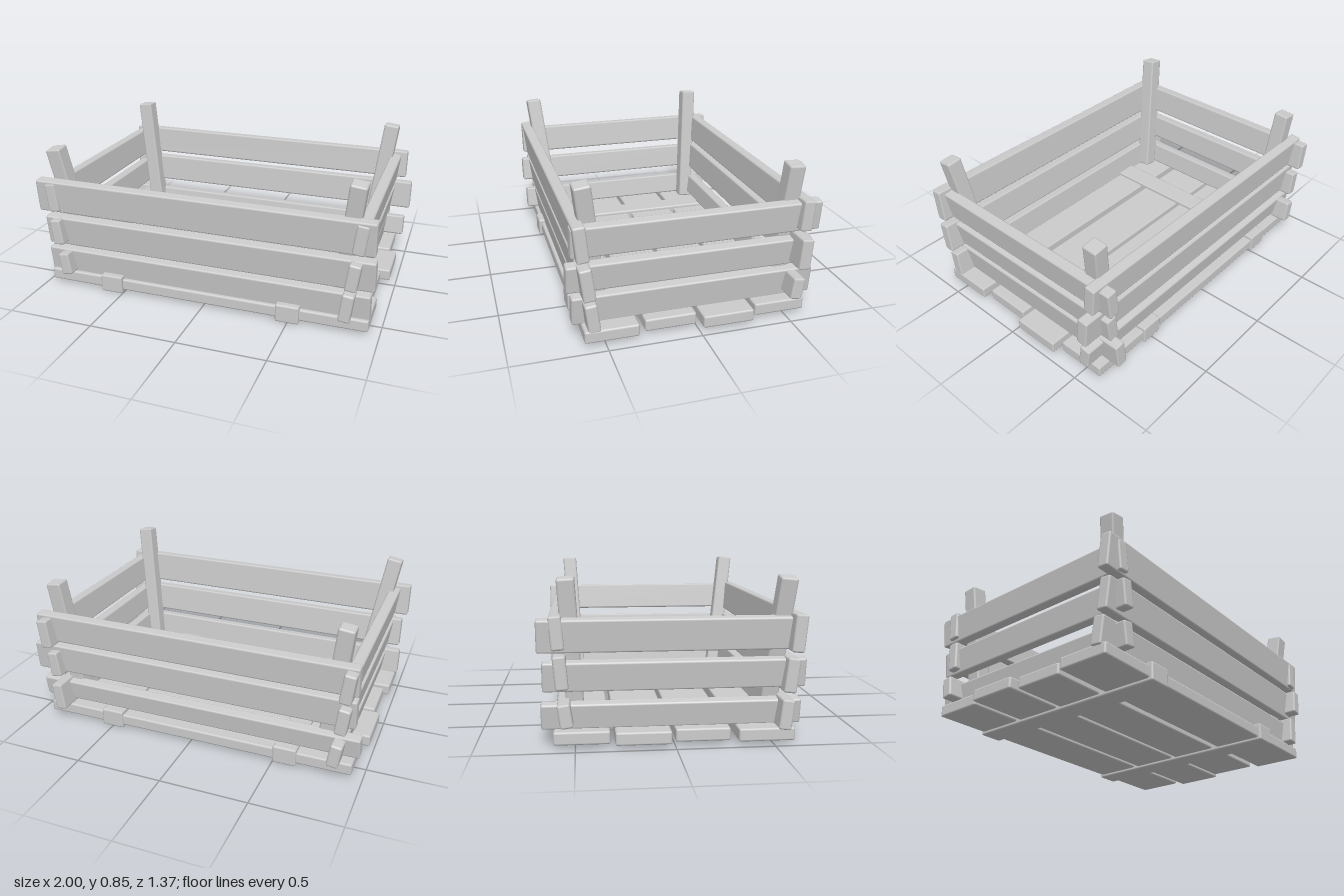
import * as THREE from 'three';
import { RoundedBoxGeometry } from 'three/addons/geometries/RoundedBoxGeometry.js';

const THICK = 0.066;
const BEVEL = 0.011;
const material = new THREE.MeshStandardMaterial({ color: 0xcccccc });

// Board with softened edges
function board(name, w, h, d) {
  const mesh = new THREE.Mesh(new RoundedBoxGeometry(w, h, d, 1, BEVEL), material);
  mesh.name = name;
  return mesh;
}

// Board filling the given ranges
function span(name, [x0, x1], [y0, y1], [z0, z1]) {
  const mesh = board(name, x1 - x0, y1 - y0, z1 - z0);
  mesh.position.set((x0 + x1) / 2, (y0 + y1) / 2, (z0 + z1) / 2);
  return mesh;
}

// Wall slat along one axis, leaning from offset "low" at y0 to offset "high" at y1
function slat(name, axis, [a, b], [y0, y1], [low, high]) {
  const tilt = Math.atan2(high - low, y1 - y0);
  const height = (y1 - y0 - THICK * Math.abs(Math.sin(tilt))) / Math.cos(tilt);
  const y = (y0 + y1) / 2, offset = (low + high) / 2, middle = (a + b) / 2;
  let mesh;
  if (axis === 'x') {
    mesh = board(name, b - a, height, THICK);
    mesh.position.set(middle, y, offset);
    mesh.rotation.x = tilt;
  } else {
    mesh = board(name, THICK, height, b - a);
    mesh.position.set(offset, y, middle);
    mesh.rotation.z = -tilt;
  }
  return mesh;
}

// Square corner post from its foot to its top
function post(name, foot, top) {
  const a = new THREE.Vector3(...foot), b = new THREE.Vector3(...top);
  const dir = b.clone().sub(a);
  const mesh = board(name, 0.09, dir.length(), 0.09);
  mesh.position.copy(a).add(b).multiplyScalar(0.5);
  mesh.quaternion.setFromUnitVectors(new THREE.Vector3(0, 1, 0), dir.normalize());
  return mesh;
}

export function createModel() {
  const crate = new THREE.Group();
  crate.name = 'slattedCrate';

  // Floor: four boards running left to right
  [
    [[-0.94, 0.92], [-0.61, -0.325]],
    [[-0.975, 0.965], [-0.302, -0.018]],
    [[-0.94, 0.91], [0.003, 0.285]],
    [[-0.97, 0.94], [0.32, 0.61]],
  ].forEach(([x, z]) => crate.add(span('floorBoard', x, [0.017, 0.085], z)));

  // Two bars crossing the floor boards
  [[-0.635, -0.5], [0.43, 0.565]].forEach((x) =>
    crate.add(span('floorCrossbar', x, [0, 0.105], [-0.62, 0.628])));

  // Walls: three slats each, from top to bottom: extent, height range, lean
  const walls = {
    frontSlat: ['x', [
      [[-1, 0.955], [0.47, 0.668], [0.604, 0.623]],
      [[-0.97, 0.96], [0.258, 0.443], [0.577, 0.6]],
      [[-0.98, 0.94], [0.07, 0.233], [0.553, 0.573]],
    ]],
    backSlat: ['x', [
      [[-0.945, 0.955], [0.492, 0.667], [-0.577, -0.592]],
      [[-0.94, 0.997], [0.292, 0.468], [-0.56, -0.575]],
      [[-0.97, 0.97], [0.105, 0.235], [-0.538, -0.557]],
    ]],
    leftSlat: ['z', [
      [[-0.682, 0.66], [0.475, 0.65], [0.865, 0.887]],
      [[-0.652, 0.684], [0.277, 0.437], [0.84, 0.862]],
      [[-0.68, 0.657], [0.077, 0.246], [0.81, 0.832]],
    ]],
    rightSlat: ['z', [
      [[-0.684, 0.66], [0.477, 0.652], [-0.888, -0.91]],
      [[-0.66, 0.675], [0.278, 0.437], [-0.868, -0.889]],
      [[-0.67, 0.66], [0.08, 0.222], [-0.84, -0.863]],
    ]],
  };
  for (const [name, [axis, rows]] of Object.entries(walls)) {
    const wall = new THREE.Group();
    wall.name = name.replace('Slat', 'Wall');
    rows.forEach((row) => wall.add(slat(name, axis, ...row)));
    crate.add(wall);
  }

  // Corner posts leaning outwards inside the walls
  [
    [[-0.763, 0.08, 0.495], [-0.895, 0.845, 0.572]],
    [[-0.763, 0.08, -0.492], [-0.853, 0.845, -0.537]],
    [[0.753, 0.08, 0.492], [0.846, 0.845, 0.588]],
    [[0.753, 0.08, -0.492], [0.85, 0.845, -0.537]],
  ].forEach(([foot, top]) => crate.add(post('cornerPost', foot, top)));

  return crate;
}
